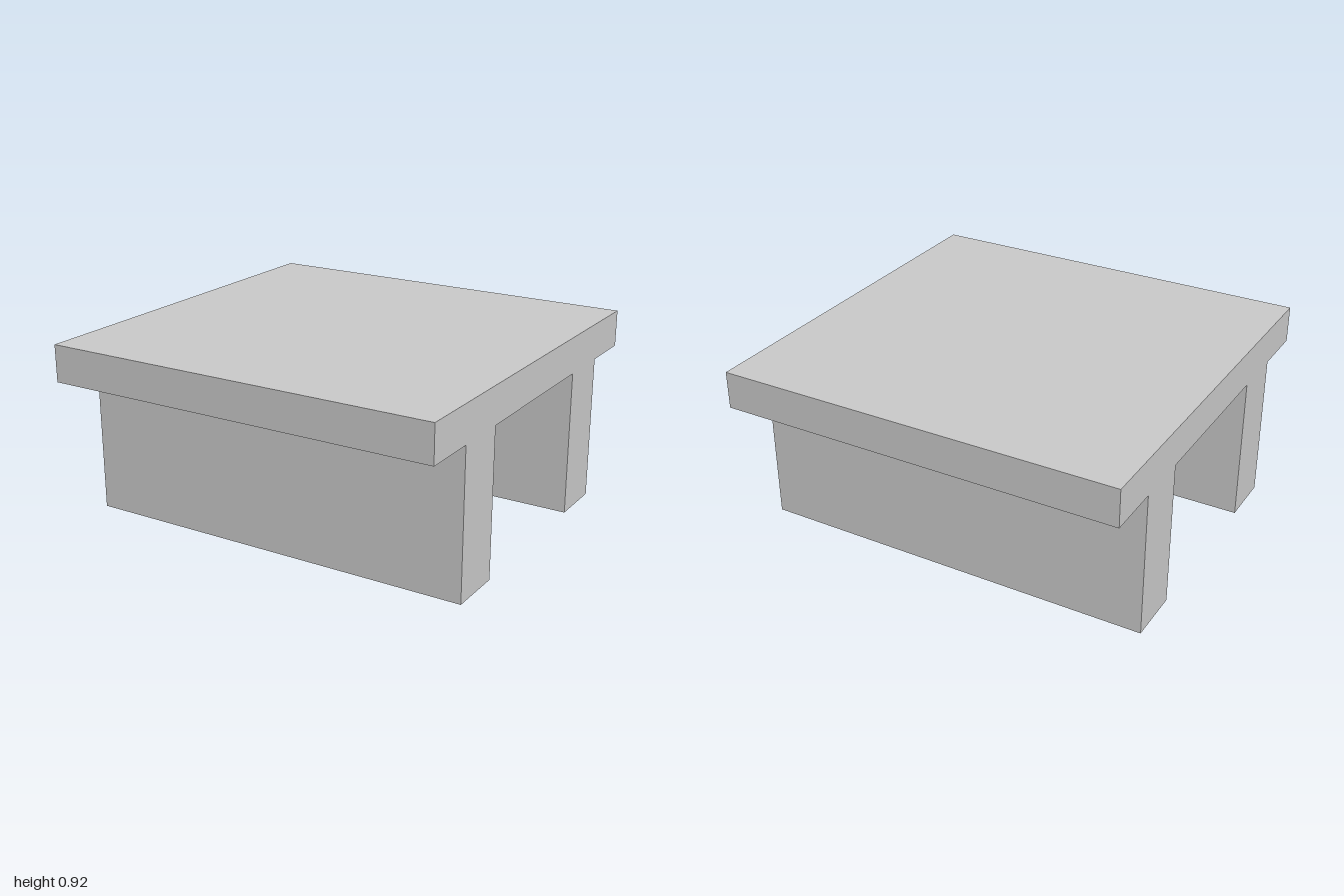
import * as THREE from 'three';

export function createModel() {
  const group = new THREE.Group();
  group.name = 'table';

  const length = 2;
  const top = 0.917, underside = 0.733;
  const edge = 0.973, legOuter = 0.697, legInner = 0.42;
  const frontFoot = 0, backFoot = 0.01; // the back leg is slightly shorter

  // Side profile (z, y): slab top with two wall-like legs, in one piece
  const profile = new THREE.Shape([
    [-edge, top], [-edge, underside],
    [-legOuter, underside], [-legOuter, backFoot],
    [-legInner, backFoot], [-legInner, underside],
    [legInner, underside], [legInner, frontFoot],
    [legOuter, frontFoot], [legOuter, underside],
    [edge, underside], [edge, top],
  ].map(([z, y]) => new THREE.Vector2(z, y)));

  // Extrude along the full width, then turn the profile to face sideways
  const geometry = new THREE.ExtrudeGeometry(profile, { depth: length, bevelEnabled: false });
  geometry.translate(0, 0, -length / 2);
  geometry.rotateY(-Math.PI / 2);

  const body = new THREE.Mesh(geometry, new THREE.MeshStandardMaterial({ color: 0xcccccc }));
  body.name = 'tabletopWithLegs';
  group.add(body);
  return group;
}
